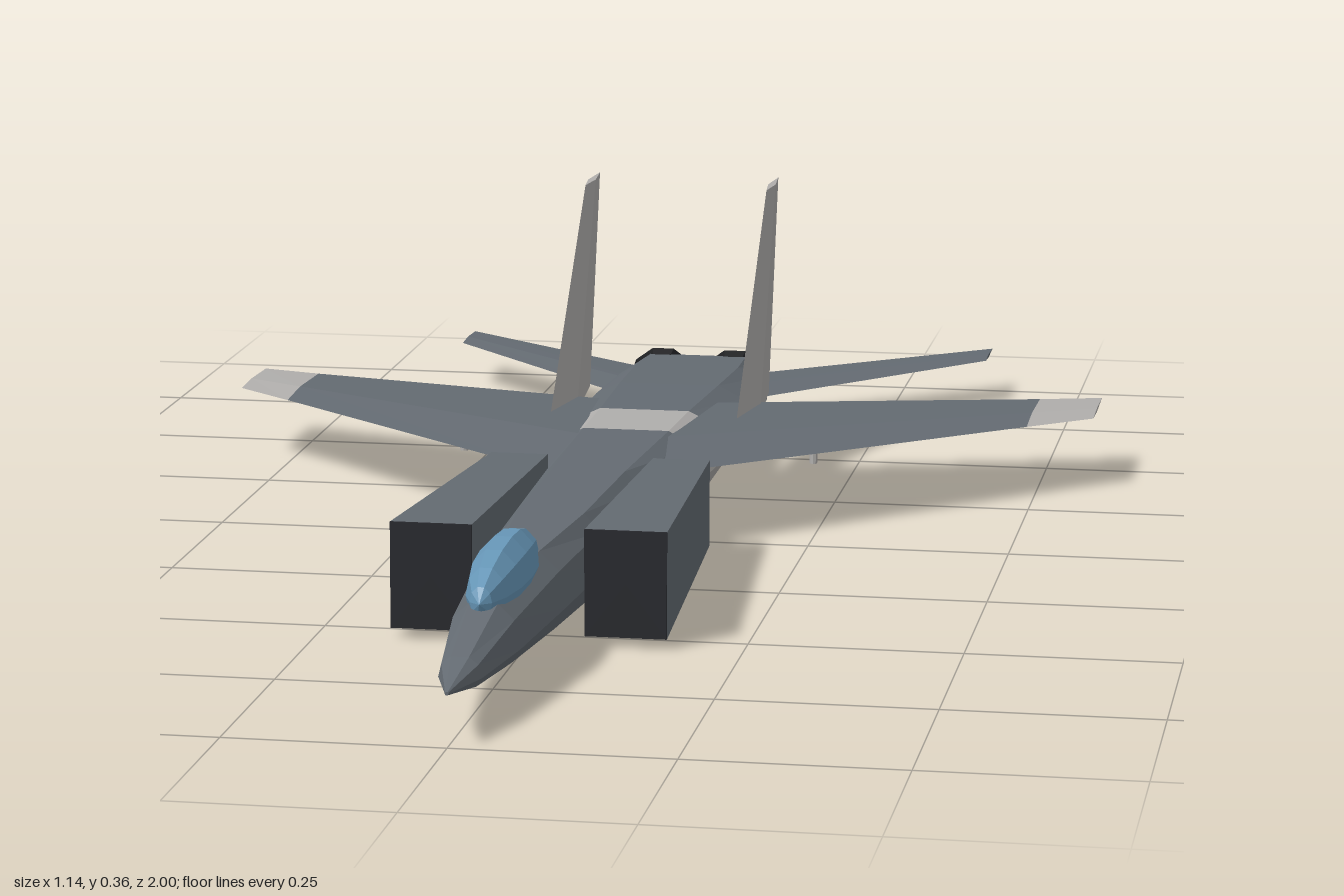
import * as THREE from 'three';

const paint = (color) => new THREE.MeshStandardMaterial({ color, flatShading: true });

// Closed skin through equal-length rings of [x, y, z], capped at both ends
function loft(rings) {
  const n = rings[0].length;
  const tris = [];
  for (let i = 0; i < rings.length - 1; i++) {
    for (let j = 0; j < n; j++) {
      const k = (j + 1) % n;
      const [a, b, c, d] = [rings[i][j], rings[i][k], rings[i + 1][k], rings[i + 1][j]];
      tris.push([a, b, c], [a, c, d]);
    }
  }
  const cap = (ring, flip) => {
    const mid = [0, 1, 2].map((q) => ring.reduce((s, p) => s + p[q], 0) / n);
    ring.forEach((p, j) => {
      const next = ring[(j + 1) % n];
      tris.push(flip ? [mid, next, p] : [mid, p, next]);
    });
  };
  cap(rings[0], true);
  cap(rings[rings.length - 1], false);

  // Turn the skin outwards if its enclosed volume comes out negative
  const v = tris.map((t) => t.map((p) => new THREE.Vector3(...p)));
  const o = v[0][0].clone();
  const volume = v.reduce((s, [a, b, c]) =>
    s + a.clone().sub(o).dot(b.clone().sub(o).cross(c.clone().sub(o))), 0);
  const points = v.flatMap(([a, b, c]) => (volume < 0 ? [a, c, b] : [a, b, c]));
  const geo = new THREE.BufferGeometry().setFromPoints(points);
  geo.computeVertexNormals();
  return geo;
}

// Fuselage cross-section: half width w, flat top half width t, V-shaped belly
function bodyRing([z, w, t, top, bottom]) {
  const mid = 0.062;
  const half = [
    [t, top],
    [w * 0.85, mid + (top - mid) * 0.65],
    [w, mid],
    [w * 0.75, mid + (bottom - mid) * 0.72],
  ];
  return [
    ...half.map(([x, y]) => [x, y, z]),
    [0, bottom, z],
    ...half.reverse().map(([x, y]) => [-x, y, z]),
  ];
}

// Diamond aerofoil in a horizontal surface (span along x)
const wingRing = (s, x, y, lead, trail, thick) => {
  const ridge = lead + (trail - lead) * 0.4;
  return [[s * x, y, lead], [s * x, y + thick / 2, ridge], [s * x, y, trail], [s * x, y - thick / 2, ridge]];
};

// Diamond aerofoil in an upright surface (span along y)
const finRing = (x, y, lead, trail, thick) => {
  const ridge = lead + (trail - lead) * 0.45;
  return [[x, y, lead], [x + thick / 2, y, ridge], [x, y, trail], [x - thick / 2, y, ridge]];
};

export function createModel() {
  const model = new THREE.Group();
  model.name = 'jetAircraft';
  const mats = {
    body: paint(0x646b72),
    light: paint(0xb0aeac),
    glass: paint(0x6797b8),
    dark: paint(0x26272c),
    nozzle: paint(0x17181a),
  };
  const add = (name, geo, mat) => {
    const mesh = new THREE.Mesh(geo, mat);
    mesh.name = name;
    model.add(mesh);
    return mesh;
  };

  // Fuselage, with a pale band behind the wing root: z, w, t, top, bottom
  const front = [
    [1.0, 0.002, 0.001, 0.064, 0.060],
    [0.93, 0.024, 0.010, 0.085, 0.049],
    [0.8, 0.041, 0.016, 0.113, 0.040],
    [0.6, 0.056, 0.024, 0.126, 0.026],
    [0.4, 0.068, 0.040, 0.126, 0.014],
    [0.15, 0.078, 0.045, 0.122, 0.005],
    [-0.115, 0.105, 0.055, 0.117, 0.002],
  ];
  const band = [front[front.length - 1], [-0.255, 0.114, 0.058, 0.114, 0.004]];
  const rear = [band[1], [-0.45, 0.116, 0.066, 0.109, 0.011], [-0.6, 0.11, 0.07, 0.104, 0.019], [-0.695, 0.096, 0.066, 0.1, 0.025]];
  add('frontFuselage', loft(front.map(bodyRing)), mats.body);
  add('fuselageBand', loft(band.map(bodyRing)), mats.light);
  add('rearFuselage', loft(rear.map(bodyRing)), mats.body);

  // Canopy with its poles along the fuselage
  const canopy = new THREE.SphereGeometry(1, 10, 8).rotateX(Math.PI / 2).scale(0.033, 0.048, 0.138);
  add('canopy', canopy, mats.glass).position.set(0, 0.117, 0.687);

  for (const s of [1, -1]) {
    const side = s > 0 ? 'left' : 'right';

    // Intake duct tapering towards the back, with a dark mouth
    const duct = (z, outer, bottom, top) => [
      [s * 0.066, bottom, z], [s * outer, bottom, z], [s * outer, top, z], [s * 0.066, top, z],
    ];
    add(side + 'Intake', loft([duct(0.54, 0.162, 0.014, 0.14), duct(0.07, 0.137, 0.014, 0.122)]), mats.body);
    add(side + 'IntakeMouth', loft([duct(0.543, 0.162, 0.014, 0.14), duct(0.54, 0.162, 0.014, 0.14)]), mats.dark);

    // Swept wing with a pale tip
    const root = wingRing(s, 0.03, 0.104, 0.115, -0.352, 0.024);
    const joint = wingRing(s, 0.49, 0.096, -0.318, -0.498, 0.008);
    const tip = wingRing(s, 0.57, 0.095, -0.39, -0.525, 0.005);
    add(side + 'Wing', loft([root, joint]), mats.body);
    add(side + 'WingTip', loft([joint, tip]), mats.light);

    // Slim pylon below the wing
    add(side + 'Pylon', new THREE.CylinderGeometry(0.005, 0.005, 0.035, 8), mats.light)
      .position.set(s * 0.228, 0.08, -0.205);

    // Tailplane
    add(side + 'Tailplane', loft([
      wingRing(s, 0.02, 0.063, -0.515, -0.728, 0.014),
      wingRing(s, 0.375, 0.063, -0.91, -1.0, 0.005),
    ]), mats.body);

    // Upright fin
    add(side + 'Fin', loft([
      finRing(s * 0.122, 0.085, -0.225, -0.533, 0.026),
      finRing(s * 0.122, 0.365, -0.5, -0.61, 0.01),
    ]), mats.light);

    // Exhaust ring
    add(side + 'Nozzle', new THREE.TorusGeometry(0.028, 0.019, 6, 10), mats.nozzle)
      .position.set(s * 0.05, 0.062, -0.702);
  }
  return model;
}
